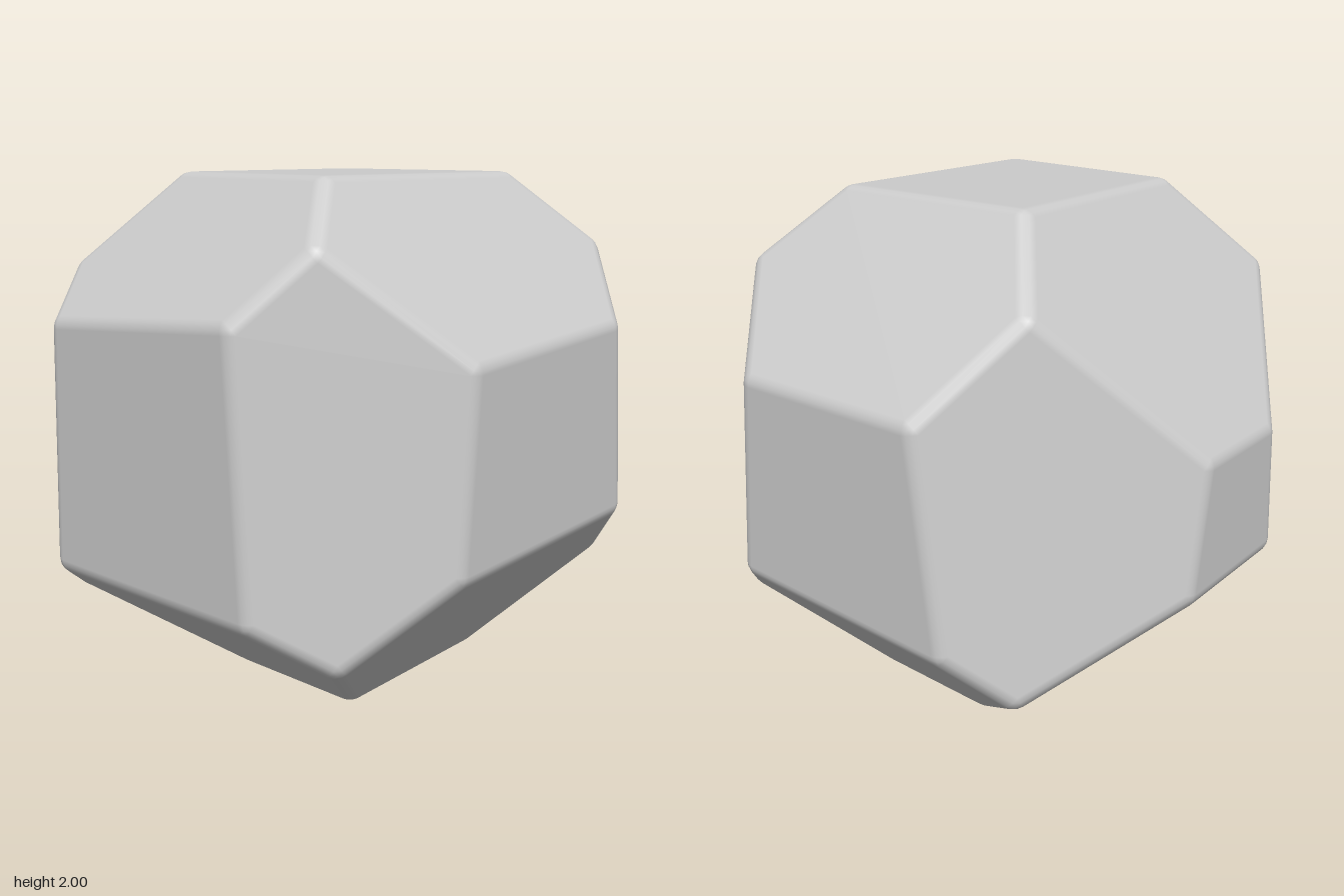
import * as THREE from 'three';
import { ConvexGeometry } from 'three/addons/geometries/ConvexGeometry.js';

const RADIUS = 0.07; // rounding of edges and corners
const STEPS = 3; // subdivisions across a rounded corner

// Each row is one face: outward normal x, y, z and its distance d (n . p = d)
const FACES = [
  // six axis-aligned faces
  [1, 0, 0, 1], [-1, 0, 0, 1], [0, 1, 0, 2], [0, -1, 0, 0], [0, 0, 1, 1], [0, 0, -1, 1],
  // front chamfers: top, bottom, +x, -x
  [-0.051, 0.865, 1, 2.24], [0.036, -1, 1.117, 0.411], [1, 0.109, 1.01, 1.619], [-1, 0.069, 1.153, 1.655],
  // side chamfers: top +x, top -x, bottom +x, bottom -x
  [1, 1, 0, 2.4], [-1, 0.964, -0.085, 2.457], [1.07, -1, 0.035, 0.484], [-0.8, -1, 0.045, 0.273],
  // back chamfers: top, bottom, +x, -x
  [0, 0.816, -1, 1.972], [0, -1, -0.86, 0.172], [0.813, 0.1325, -1, 1.338], [-0.627, 0.06, -1, 1.215],
];

// Point shared by three planes, or null when they are nearly parallel
function meet(a, b, c) {
  const bc = b.n.clone().cross(c.n);
  const det = a.n.dot(bc);
  if (Math.abs(det) < 1e-4) return null;
  return bc.multiplyScalar(a.d)
    .addScaledVector(c.n.clone().cross(a.n), b.d)
    .addScaledVector(a.n.clone().cross(b.n), c.d)
    .divideScalar(det);
}

function roundedPolyhedron(faces, radius) {
  // planes moved inward by the radius
  const planes = faces.map(([x, y, z, d]) => {
    const n = new THREE.Vector3(x, y, z);
    const len = n.length();
    return { n: n.divideScalar(len), d: d / len - radius };
  });
  const key = (x, y, z) => [x, y, z].map(Math.fround).join();
  const points = [];
  const normals = new Map();

  for (let i = 0; i < planes.length; i++)
    for (let j = i + 1; j < planes.length; j++)
      for (let k = j + 1; k < planes.length; k++) {
        const [a, b, c] = [planes[i], planes[j], planes[k]];
        const v = meet(a, b, c);
        if (!v || planes.some((p) => p.n.dot(v) > p.d + 1e-6)) continue;
        // a small spherical patch spanning the three face normals
        for (let s = 0; s <= STEPS; s++)
          for (let t = 0; t <= STEPS - s; t++) {
            const n = a.n.clone().multiplyScalar(s)
              .addScaledVector(b.n, t)
              .addScaledVector(c.n, STEPS - s - t)
              .normalize();
            const p = v.clone().addScaledVector(n, radius);
            points.push(p);
            normals.set(key(p.x, p.y, p.z), n);
          }
      }

  // skin the patches and give every corner its smooth normal
  const geometry = new ConvexGeometry(points);
  const pos = geometry.attributes.position;
  const nor = geometry.attributes.normal;
  for (let i = 0; i < pos.count; i++) {
    const n = normals.get(key(pos.getX(i), pos.getY(i), pos.getZ(i)));
    if (n) nor.setXYZ(i, n.x, n.y, n.z);
  }
  return geometry;
}

export function createModel() {
  const model = new THREE.Group();
  model.name = 'facetedStone';
  const stone = new THREE.Mesh(
    roundedPolyhedron(FACES, RADIUS),
    new THREE.MeshStandardMaterial({ color: 0xcccccc }),
  );
  stone.name = 'stone';
  model.add(stone);
  return model;
}
